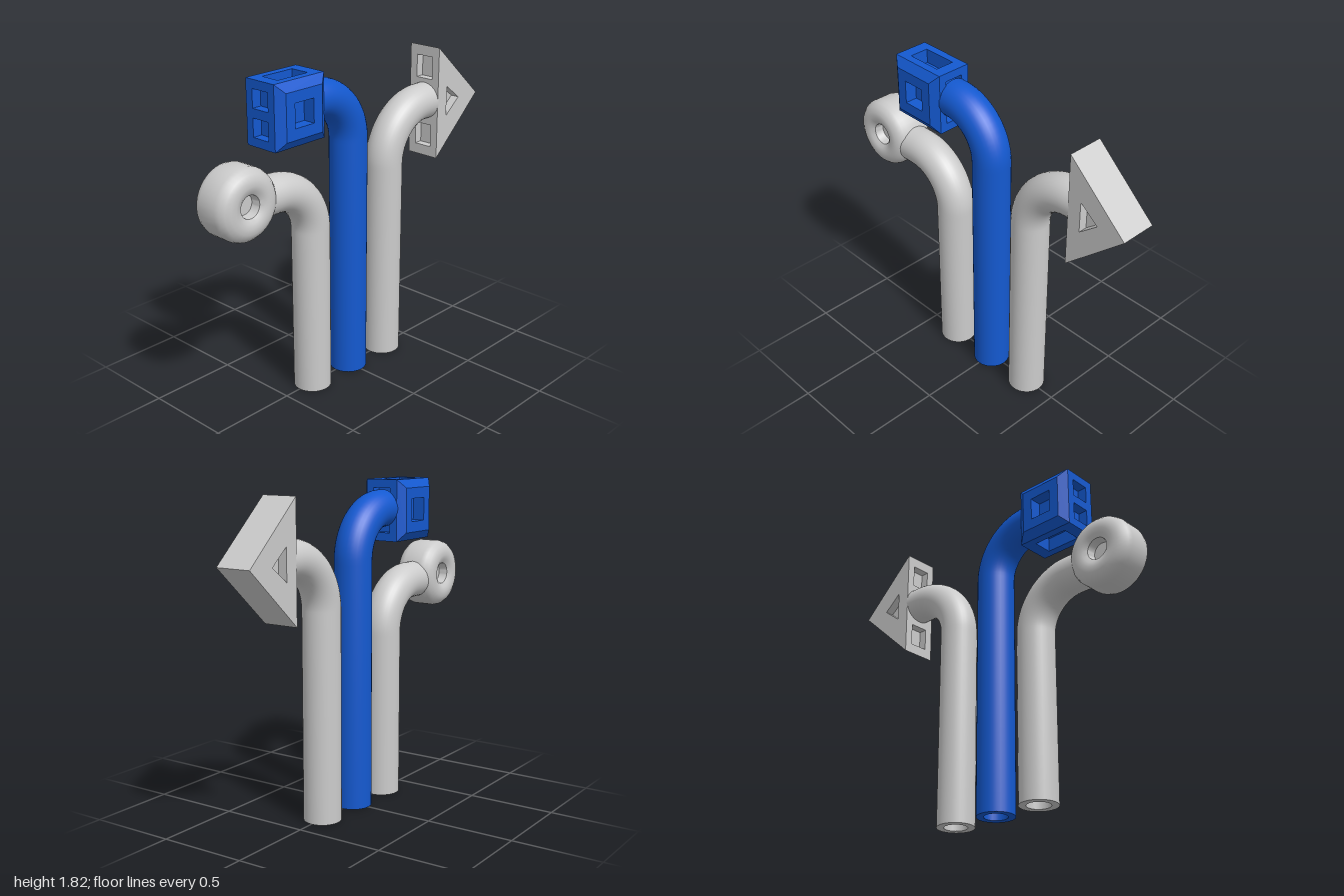
import * as THREE from 'three';
import { mergeGeometries, toCreasedNormals } from 'three/addons/utils/BufferGeometryUtils.js';

const grey = new THREE.MeshStandardMaterial({ color: 0xcccccc, side: THREE.DoubleSide });
const blue = new THREE.MeshStandardMaterial({ color: 0x1459d0, side: THREE.DoubleSide });
const v3 = (x, y, z = 0) => new THREE.Vector3(x, y, z);
const v2 = (p) => new THREE.Vector2(p[0], p[1]);

// Counter-clockwise rectangle outline
const rect = (w, h, cx = 0, cy = 0) => [
  [cx - w / 2, cy - h / 2], [cx + w / 2, cy - h / 2], [cx + w / 2, cy + h / 2], [cx - w / 2, cy + h / 2],
];

function mesh(name, geometry, material) {
  const m = new THREE.Mesh(geometry, material);
  m.name = name;
  return m;
}

// Flat panel facing +z with blind pockets sunk into it
function panel(outline, holes = [], depth = 0.05) {
  const shape = new THREE.Shape(outline.map(v2));
  holes.forEach((h) => shape.holes.push(new THREE.Path(h.map(v2))));
  const parts = [new THREE.ShapeGeometry(shape).toNonIndexed()];
  for (const h of holes) {
    parts.push(new THREE.ShapeGeometry(new THREE.Shape(h.map(v2))).toNonIndexed().translate(0, 0, -depth));
    h.forEach((a, i) => {
      const b = h[(i + 1) % h.length];
      const dx = b[0] - a[0], dy = b[1] - a[1];
      const wall = new THREE.PlaneGeometry(Math.hypot(dx, dy), depth).toNonIndexed();
      wall.rotateX(Math.PI / 2).rotateZ(Math.atan2(dy, dx));
      // wall normals point into the pocket
      if (wall.attributes.normal.getX(0) * -dy + wall.attributes.normal.getY(0) * dx < 0) {
        wall.rotateZ(Math.PI);
      }
      parts.push(wall.translate((a[0] + b[0]) / 2, (a[1] + b[1]) / 2, -depth / 2));
    });
  }
  return mergeGeometries(parts);
}

// Hollow upright pipe with a quarter bend to the side at the top
function pipe(name, x, height, bend, endX, material) {
  const s = Math.sign(endX - x), k = bend * 0.5523;
  const start = v3(x, height - bend), end = v3(x + s * bend, height);
  const path = new THREE.CurvePath();
  path.add(new THREE.LineCurve3(v3(x, 0), start));
  path.add(new THREE.CubicBezierCurve3(start, v3(x, start.y + k), v3(end.x - s * k, height), end));
  path.add(new THREE.LineCurve3(end, v3(endX, height)));
  const group = new THREE.Group();
  group.name = name;
  group.add(mesh('pipeOuter', new THREE.TubeGeometry(path, 72, 0.105, 32), material));
  group.add(mesh('pipeBore', new THREE.TubeGeometry(path, 72, 0.065, 24), material));
  const rim = new THREE.RingGeometry(0.065, 0.105, 32).rotateX(Math.PI / 2).translate(x, 0, 0);
  group.add(mesh('pipeRim', rim, material));
  return group;
}

// Rounded disc with a dished socket on both faces
function roundHead() {
  const half = [[0, 0.05], [0.055, 0.05], [0.062, 0.1], [0.085, 0.115], [0.11, 0.121],
    [0.14, 0.118], [0.168, 0.104], [0.187, 0.082], [0.195, 0.055]];
  const profile = [...half.map(([r, z]) => [r, -z]), ...half.slice().reverse()].map(v2);
  const g = toCreasedNormals(new THREE.LatheGeometry(profile, 40).rotateX(Math.PI / 2), 0.7);
  return mesh('roundHead', g.translate(-0.805, 1.245, 0), grey);
}

// Square block with bevelled front and back and pockets on every side
function squareHead() {
  const S = 0.345, F = 0.25, D = 0.2, B = 0.035;
  const group = new THREE.Group();
  group.name = 'squareHead';
  for (const turn of [0, Math.PI]) {
    const face = panel(rect(F, F), [rect(0.13, 0.13)], 0.07).translate(0, 0, D / 2 + B).rotateY(turn);
    group.add(mesh('blockFace', face, blue));
    const bevel = new THREE.CylinderGeometry(F / Math.SQRT2, S / Math.SQRT2, B, 4, 1, true, Math.PI / 4)
      .rotateX(Math.PI / 2).translate(0, 0, (D + B) / 2).rotateY(turn);
    group.add(mesh('blockBevel', toCreasedNormals(bevel, 0.3), blue));
    // top and bottom: one long pocket
    const cap = panel(rect(S, D), [rect(0.205, 0.11)], 0.08)
      .rotateX(-Math.PI / 2).translate(0, S / 2, 0).rotateZ(turn);
    group.add(mesh('blockCap', cap, blue));
    // sides: two pockets with a bar between
    const side = panel(rect(D, S), [rect(0.11, 0.1, 0, 0.075), rect(0.11, 0.1, 0, -0.075)], 0.055)
      .rotateY(Math.PI / 2).translate(S / 2, 0, 0).rotateY(turn);
    group.add(mesh('blockSide', side, blue));
  }
  group.position.set(-0.4575, 1.65, 0);
  return group;
}

// Triangular prism pointing sideways, with pockets in its faces and base
function arrowHead() {
  const D = 0.205, L = 0.36, H = 0.325;
  const group = new THREE.Group();
  group.name = 'arrowHead';
  const outline = [[0, -H], [L, 0], [0, H]];
  const hole = [[0.08, -0.085], [0.19, 0.005], [0.08, 0.09]];
  for (const s of [1, -1]) {
    const face = mesh('arrowFace', panel(outline, [hole], 0.05).translate(0, 0, D / 2), grey);
    if (s < 0) face.rotation.x = Math.PI;
    group.add(face);
    const slope = new THREE.PlaneGeometry(Math.hypot(L, H), D).rotateX(-Math.PI / 2)
      .rotateZ(-Math.atan2(H, L)).translate(L / 2, H / 2, 0);
    const side = mesh('arrowSlope', slope, grey);
    if (s < 0) side.rotation.x = Math.PI;
    group.add(side);
  }
  const base = panel(rect(D, 2 * H), [rect(0.11, 0.13, 0, 0.2), rect(0.11, 0.13, 0, -0.2)], 0.05);
  group.add(mesh('arrowBase', base.rotateY(-Math.PI / 2), grey));
  group.position.set(0.64, 1.456, 0);
  return group;
}

export function createModel() {
  const model = new THREE.Group();
  model.name = 'threePipes';
  model.add(
    pipe('shortPipe', -0.295, 1.222, 0.27, -0.66, grey),
    pipe('tallPipe', 0, 1.662, 0.27, -0.29, blue),
    pipe('middlePipe', 0.295, 1.462, 0.3, 0.645, grey),
    roundHead(),
    squareHead(),
    arrowHead(),
  );
  return model;
}
